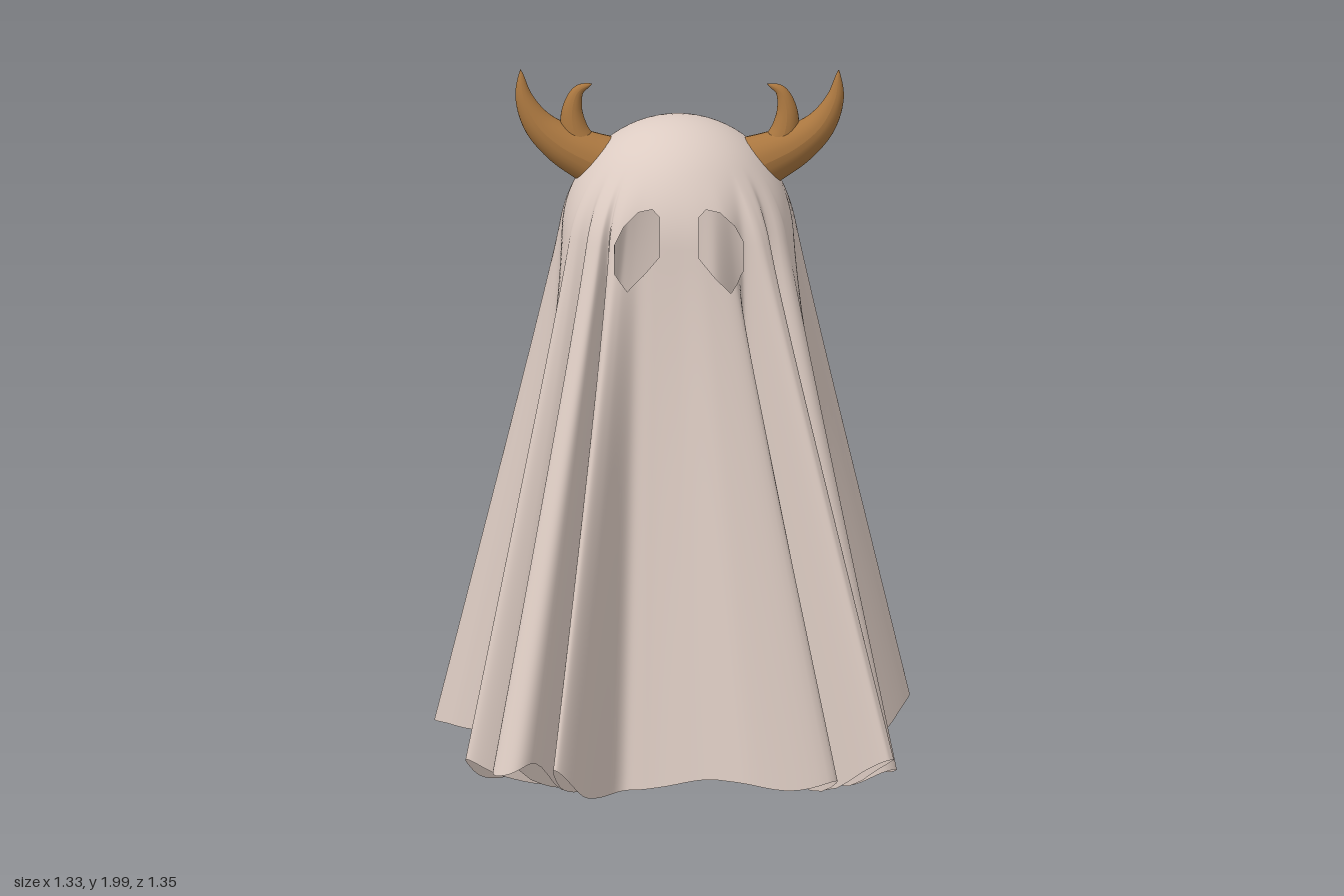
import * as THREE from 'three';

const CENTRE_X = 0.02, CENTRE_Z = 0.03;

// Rounded folds at the hem: [angle on the head (0 = front, 90 = left), tip x, tip z, half width]
const FOLDS = [
  [43, 0.62, 0.58, 0.03], [61, 0.63, 0.42, 0.06], [111, 0.66, -0.36, 0.06], [132, 0.55, -0.58, 0.05],
  [152, 0.40, -0.58, 0.06], [204, -0.29, -0.67, 0.06], [222, -0.38, -0.55, 0.03],
  [234, -0.43, -0.33, 0.04], [248, -0.66, -0.33, 0.07], [300, -0.57, 0.34, 0.05],
  [317, -0.47, 0.67, 0.06], [330, -0.32, 0.63, 0.03],
];
// Valleys and flat panels between the folds: [angle, x, z]
const PANELS = [
  [0, 0.04, 0.49], [12, 0.23, 0.60], [22, 0.47, 0.57], [34, 0.24, 0.31], [51, 0.31, 0.25],
  [80, 0.48, 0.08], [92, 0.37, -0.04], [122, 0.32, -0.21], [142, 0.27, -0.25], [163, 0.17, -0.31],
  [172, 0.10, -0.35], [188, 0.00, -0.45], [213, -0.20, -0.29], [228, -0.28, -0.22],
  [240, -0.35, -0.20], [256, -0.56, -0.17], [263, -0.42, -0.07], [276, -0.40, 0.07],
  [309, -0.28, 0.29], [324, -0.24, 0.35], [341, -0.15, 0.40], [349, -0.07, 0.42],
];

// Convex eye opening on the left side, counter-clockwise
const EYE = [[0.08, 1.64], [0.08, 1.53], [0.125, 1.475], [0.17, 1.43], [0.205, 1.48],
  [0.205, 1.56], [0.18, 1.61], [0.14, 1.65], [0.1, 1.66]];

const mix = (a, b, t) => a.map((v, i) => v + (b[i] - v) * t);

// Each fold becomes a tip with a shoulder on either side
function hemPoints() {
  const shoulders = FOLDS.flatMap(([deg, x, z, w]) => {
    const r = Math.hypot(x, z), dx = x / r, dz = z / r;
    return [-1, 0, 1].map((s) => {
      const back = 0.07 * Math.abs(s);
      return [deg + 4 * s, x - dx * back + dz * w * s, z - dz * back - dx * w * s];
    });
  });
  return [...PANELS, ...shoulders].sort((a, b) => a[0] - b[0]);
}

// Cut a convex outline out of one polygon; returns the pieces left outside it
function cutOut(poly, outline) {
  const pieces = [];
  let rest = poly;
  outline.forEach((p, i) => {
    const q = outline[(i + 1) % outline.length];
    const side = (v) => (q[0] - p[0]) * (v[1] - p[1]) - (q[1] - p[1]) * (v[0] - p[0]);
    const inside = [], outside = [];
    rest.forEach((a, k) => {
      const b = rest[(k + 1) % rest.length], da = side(a), db = side(b);
      (da >= 0 ? inside : outside).push(a);
      if (da * db < 0) {
        const m = mix(a, b, da / (da - db));
        inside.push(m);
        outside.push(m);
      }
    });
    if (outside.length > 2) pieces.push(outside);
    rest = inside;
  });
  return pieces;
}

// Draped sheet: an elliptical dome that eases into long falls towards the folded hem
function sheetGeometry() {
  const around = 560, domeRows = 20, fallRows = 34, rows = domeRows + fallRows;
  const points = hemPoints();
  const closed = (pts) => new THREE.CatmullRomCurve3(pts, true, 'catmullrom', 0.5);
  const hem = closed(points.map(([, x, z]) => new THREE.Vector3(x, 0, z)));
  const head = closed(points.map(([deg]) => {
    const a = THREE.MathUtils.degToRad(deg);
    return new THREE.Vector3(Math.sin(a), 0, Math.cos(a));
  }));
  const ease = (drop) => drop * drop / (drop + 0.12);
  const foldStart = 1.75;
  const pos = [], index = [];
  for (let r = 0; r <= rows; r++) {
    const phi = Math.PI / 2 * Math.min(1, r / domeRows);
    const radius = 0.317 * Math.sin(phi), domeY = 1.55 + 0.32 * Math.cos(phi);
    for (let u = 0; u < around; u++) {
      const d = head.getPoint(u / around).normalize(), h = hem.getPoint(u / around);
      const hemY = 0.045 + 0.07 * THREE.MathUtils.smoothstep(Math.hypot(h.x, h.z), 0.58, 0.78)
        + 0.035 * Math.sin(20 * h.x * h.z);
      const y = THREE.MathUtils.lerp(domeY, hemY, Math.max(0, (r - domeRows) / fallRows));
      const fall = ease(Math.max(0, foldStart - y)) / ease(foldStart - hemY);
      const [x, z] = mix([CENTRE_X + d.x * radius, CENTRE_Z + d.z * radius], [h.x, h.z], fall);
      pos.push(x, y, z);
      if (r === rows) continue;
      const a = r * around + u, b = r * around + (u + 1) % around;
      if (r > 0) index.push(a, a + around, b);
      index.push(b, a + around, b + around);
    }
  }
  const grid = new THREE.BufferGeometry();
  grid.setAttribute('position', new THREE.Float32BufferAttribute(pos, 3));
  grid.setIndex(index);
  grid.computeVertexNormals();
  for (let u = 0; u < around; u++) grid.attributes.normal.setXYZ(u, 0, 1, 0);

  // Cut both eye openings
  const mirroredEye = EYE.map(([x, y]) => [0.05 - x, y]).reverse();
  const P = grid.attributes.position, N = grid.attributes.normal;
  const outP = [], outN = [];
  const vertex = (i) => [P.getX(i), P.getY(i), P.getZ(i), N.getX(i), N.getY(i), N.getZ(i)];
  for (let i = 0; i < index.length; i += 3) {
    const tri = [vertex(index[i]), vertex(index[i + 1]), vertex(index[i + 2])];
    let polys = [tri];
    if (tri.every((v) => v[2] > 0.1 && v[1] > 1.35 && v[1] < 1.72)) {
      polys = cutOut(tri, EYE).flatMap((p) => cutOut(p, mirroredEye));
    }
    for (const p of polys) {
      for (let k = 1; k < p.length - 1; k++) {
        for (const v of [p[0], p[k], p[k + 1]]) {
          outP.push(v[0], v[1], v[2]);
          outN.push(v[3], v[4], v[5]);
        }
      }
    }
  }
  const geo = new THREE.BufferGeometry();
  geo.setAttribute('position', new THREE.Float32BufferAttribute(outP, 3));
  geo.setAttribute('normal', new THREE.Float32BufferAttribute(outN, 3));
  return geo;
}

// Tube that tapers to a point along a path in the xy plane
function taperedTube(points, radius, power) {
  const curve = new THREE.CatmullRomCurve3(points.map(([x, y]) => new THREE.Vector3(x, y, CENTRE_Z)));
  const segs = 32, sides = 24;
  const geo = new THREE.TubeGeometry(curve, segs, radius, sides);
  const p = geo.attributes.position, v = new THREE.Vector3();
  for (let i = 0; i < p.count; i++) {
    const t = Math.floor(i / (sides + 1)) / segs, c = curve.getPointAt(t);
    v.fromBufferAttribute(p, i).sub(c).multiplyScalar(Math.max(0.01, Math.pow(1 - t, power))).add(c);
    p.setXYZ(i, v.x, v.y, v.z);
  }
  geo.computeVertexNormals();
  return geo;
}

export function createModel() {
  const cloth = new THREE.MeshStandardMaterial({ color: 0xdccbc2, side: THREE.DoubleSide });
  cloth.name = 'cloth';
  const hornBrown = new THREE.MeshStandardMaterial({ color: 0xa9763f, side: THREE.DoubleSide });
  hornBrown.name = 'hornBrown';

  const model = new THREE.Group();
  model.name = 'sheetGhost';
  const add = (name, geo, mat, parent) => {
    const mesh = new THREE.Mesh(geo, mat);
    mesh.name = name;
    parent.add(mesh);
  };
  add('sheet', sheetGeometry(), cloth, model);

  // Horns: a curved main beam with a small hooked tine, mirrored across the head
  for (const [name, s] of [['leftHorn', 1], ['rightHorn', -1]]) {
    const horn = new THREE.Group();
    horn.name = name;
    const place = (pts) => pts.map(([x, y]) => [0.025 + s * x, y]);
    add('beam', taperedTube(place([[0.19, 1.725], [0.255, 1.752], [0.33, 1.79], [0.395, 1.845],
      [0.435, 1.92], [0.445, 2.0]]), 0.083, 0.75), hornBrown, horn);
    add('tine', taperedTube(place([[0.27, 1.77], [0.295, 1.83], [0.3, 1.89], [0.283, 1.94],
      [0.245, 1.96]]), 0.05, 0.7), hornBrown, horn);
    model.add(horn);
  }
  return model;
}
